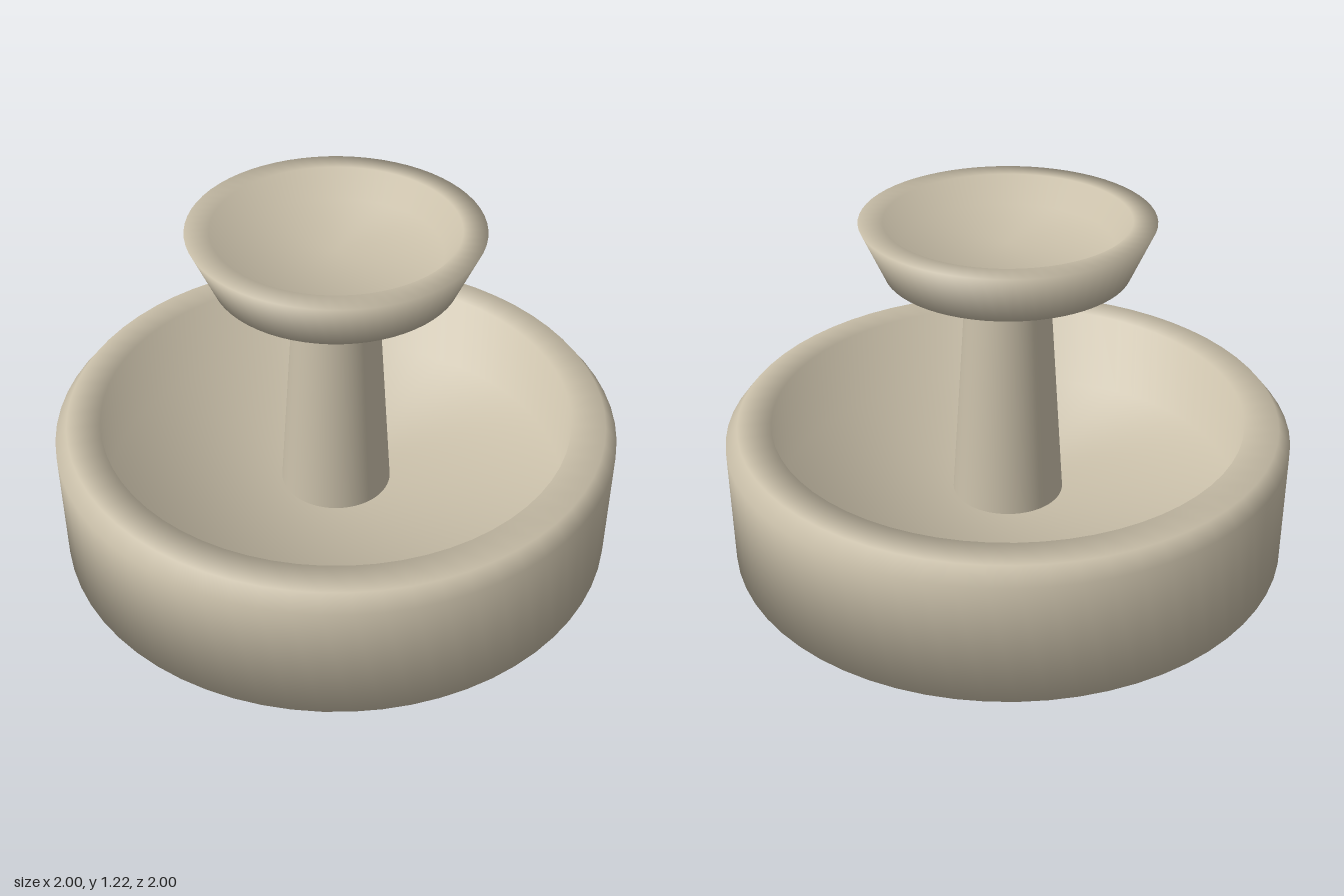
import * as THREE from 'three';

const SEGMENTS = 64;

// Turned part from a profile of [radius, height] points, with evenly averaged smooth normals
function turned(name, profile, material) {
  const points = profile.map(([r, y]) => new THREE.Vector2(r, y));
  const geometry = new THREE.LatheGeometry(points, SEGMENTS);
  const faces = points.slice(1).map((p, j) =>
    new THREE.Vector2(p.y - points[j].y, points[j].x - p.x).normalize());
  const normal = geometry.attributes.normal;
  points.forEach((p, j) => {
    const n = new THREE.Vector2();
    if (j > 0) n.add(faces[j - 1]);
    if (j < faces.length) n.add(faces[j]);
    n.normalize();
    for (let i = 0; i <= SEGMENTS; i++) {
      const a = (i / SEGMENTS) * Math.PI * 2;
      normal.setXYZ(i * points.length + j, n.x * Math.sin(a), n.y, n.x * Math.cos(a));
    }
  });
  const mesh = new THREE.Mesh(geometry, material);
  mesh.name = name;
  return mesh;
}

export function createModel() {
  const group = new THREE.Group();
  group.name = 'fountain';
  const stone = new THREE.MeshStandardMaterial({ color: 0xc9bfa9 });
  stone.name = 'stone';

  // Wide basin with a bevelled outer rim, straight inner wall and flat floor
  group.add(turned('basin', [
    [0, 0], [1, 0], [1, 0.437], [0.957, 0.49], [0.838, 0.49], [0.838, 0.17], [0, 0.17],
  ], stone));

  // Tapered column rising from the basin floor
  const bottom = 0.16, top = 1.06;
  const column = new THREE.Mesh(
    new THREE.CylinderGeometry(0.14, 0.2, top - bottom, SEGMENTS), stone);
  column.position.y = (bottom + top) / 2;
  column.name = 'column';
  group.add(column);

  // Flared upper dish with a shallow hollow
  group.add(turned('upperDish', [
    [0, 1.04], [0.42, 1.04], [0.5, 1.22], [0.418, 1.22], [0.36, 1.13], [0, 1.13],
  ], stone));

  return group;
}
